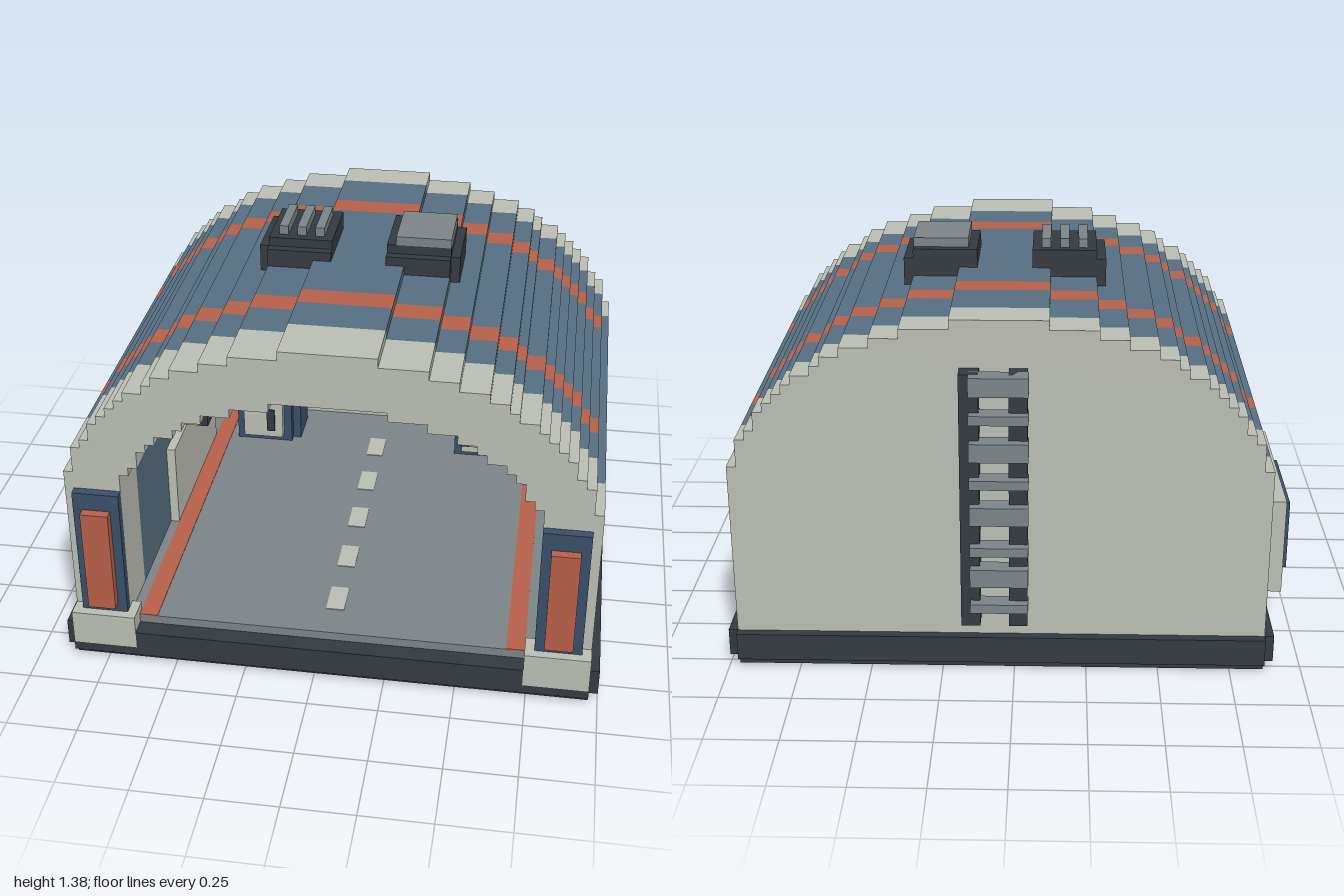
import * as THREE from 'three';

// Everything sits on a grid of small cubes: i along x, y up, j along z
const V = 2 / 61;
const X = i => -1 + i * V;
const Z = j => (j - 26.5) * V;

const mat = color => new THREE.MeshStandardMaterial({ color, flatShading: true });
const PALE = mat(0xbdc0b6), BLUE = mat(0x567082), DARK = mat(0x343b41), RED = mat(0xb8614a);
const NAVY = mat(0x3a506a), GREY = mat(0x7d868a), YELLOW = mat(0xd9a95a);

// Stepped heights of the outer and inner arch for a one-cube column
const arc = (i, a, b) => Math.sqrt(Math.max(0, 1 - ((i + 0.5 - 32) / a) ** 2)) * b;
const outer = i => Math.round(19.25 + arc(i, 28, 19.6));
const inner = i => (i < 10 || i >= 54 ? 4 : Math.max(23, Math.round(19.3 + arc(i, 22, 13.7))));

export function createModel() {
  const model = new THREE.Group();

  // Box between grid corners
  function box(name, m, i0, i1, y0, y1, j0, j1, parent = model) {
    const g = new THREE.BoxGeometry((i1 - i0) * V, (y1 - y0) * V, (j1 - j0) * V);
    const mesh = new THREE.Mesh(g, m);
    mesh.position.set((X(i0) + X(i1)) / 2, ((y0 + y1) / 2) * V, (Z(j0) + Z(j1)) / 2);
    mesh.name = name;
    parent.add(mesh);
    return mesh;
  }

  // Box and its twin on the other side of the hangar axis
  function pair(name, m, i0, i1, ...rest) {
    box(name + 'Right', m, i0, i1, ...rest);
    box(name + 'Left', m, 64 - i1, 64 - i0, ...rest);
  }

  // Stepped arch between two height rules, extruded along z
  function arch(name, m, j0, j1, low, high, i0 = 4, i1 = 60) {
    const pts = [];
    const add = (i, y) => pts.push(new THREE.Vector2(X(i), y * V));
    for (let i = i0; i < i1; i++) {
      if (i === i0 || high(i) !== high(i - 1)) add(i, high(i));
      if (i === i1 - 1 || high(i) !== high(i + 1)) add(i + 1, high(i));
    }
    for (let i = i1 - 1; i >= i0; i--) {
      if (i === i1 - 1 || low(i) !== low(i + 1)) add(i + 1, low(i));
      if (i === i0 || low(i) !== low(i - 1)) add(i, low(i));
    }
    const g = new THREE.ExtrudeGeometry(new THREE.Shape(pts), { depth: (j1 - j0) * V, bevelEnabled: false });
    const mesh = new THREE.Mesh(g, m);
    mesh.position.z = Z(j0);
    mesh.name = name;
    model.add(mesh);
  }

  // Base
  box('baseFoot', DARK, 4, 60, 0, 1, 3, 52);
  box('baseSlab', DARK, 3, 61, 1, 4, 3, 52);
  box('baseRearLip', DARK, 4, 60, 1, 4, 2, 3);
  box('baseFrontLip', DARK, 4, 60, 1, 2, 52, 53);
  box('baseSill', DARK, 11, 53, 2, 4, 52, 53);

  // Shell: pale end bands, blue middle, red stripes let into the roof
  arch('backWall', PALE, 3, 5, () => 4, outer);
  arch('rearBand', PALE, 5, 7, inner, outer);
  arch('frontBand', PALE, 45, 51, inner, outer);
  for (const [a, b] of [[7, 13], [16, 37], [40, 45]]) arch('shell', BLUE, a, b, inner, outer);
  const under = i => (i === 4 || i === 59 ? outer(i) : outer(i) - 2);
  for (const j of [13, 37]) {
    arch('shellUnderStripe', BLUE, j, j + 3, inner, under);
    arch('roofStripe', RED, j, j + 3, i => outer(i) - 2, outer, 5, 59);
  }

  // Front pillars
  pair('footing', PALE, 4, 11, 2, 6, 50, 53);
  pair('pillarPanel', NAVY, 5, 10, 6, 21, 51, 52);
  pair('pillarInset', RED, 6, 9, 7, 19, 52, 53);

  // Floor with edge lines and lane dashes
  box('floor', GREY, 10, 54, 4, 5, 5, 51);
  pair('floorLine', RED, 11, 13, 4.5, 5.08, 6, 51);
  for (let j = 11; j < 48; j += 8) box('laneDash', PALE, 31, 33, 4.5, 5.08, j, j + 4);

  // Red frame on the inside of the back wall
  pair('wallFrameSide', RED, 11, 13, 5, 22, 5, 6);
  box('wallFrameTop', RED, 13, 51, 20, 22, 5, 6);

  // Lockers
  for (const i of [14, 42]) {
    const locker = new THREE.Group();
    locker.name = 'locker';
    box('lockerBody', NAVY, i, i + 7, 5, 13, 6, 13, locker);
    box('lockerSide', NAVY, i + 7, i + 8, 5, 12, 7, 12, locker);
    box('lockerDoor', PALE, i + 1, i + 6, 6, 11, 13, 14, locker);
    box('lockerHandle', DARK, i + 4, i + 5, 7, 10, 14, 14.3, locker);
    model.add(locker);
  }

  // Ceiling lamps
  box('centreLamp', YELLOW, 30, 34, 32, 33.5, 8, 48);
  pair('centreLampRail', DARK, 29, 30, 32, 33.5, 8, 48);
  pair('sideLamp', YELLOW, 16, 18, 28, 30, 8, 48);
  pair('sideLampRail', DARK, 18, 19, 28, 30.5, 8, 48);

  // Side window bay
  box('windowBay', PALE, 1, 11, 4, 15, 13, 33);
  box('windowPane', BLUE, 0.3, 1, 6, 12, 19, 27);
  box('windowBottom', NAVY, 0, 1, 5, 6, 17, 29);
  box('windowTop', NAVY, 0, 1, 12, 13, 17, 29);
  box('windowRearJamb', NAVY, 0, 1, 6, 12, 17, 19);
  box('windowFrontJamb', NAVY, 0, 1, 6, 12, 27, 29);

  // Roof vents
  const vent = (iWide0, iWide1, i0, i1) => {
    box('ventBase', DARK, iWide0, iWide1, 35, 40, 21, 29);
    box('ventFront', DARK, i0, i1, 36, 40, 29, 30);
    box('ventTop', DARK, i0, i1, 40, 41, 21, 29);
  };
  vent(21, 29, 22, 29);
  for (const i of [23, 25, 27]) box('ventSlat', GREY, i, i + 1, 41, 42, 22, 28);
  vent(35, 43, 35, 42);
  box('ventCap', GREY, 36, 42, 41, 42, 22, 29);

  // Rear ladder, rungs alternating thick and thin
  box('ladderRail', DARK, 34, 36, 6, 34, 1, 3);
  box('ladderRail', DARK, 29.1, 31, 6, 34, 1, 3);
  [8, 11, 14.5, 18, 22, 25, 29, 32].forEach((y, n) =>
    box('ladderRung', GREY, 29, 35, y, y + 1 + (n % 2), 0, 2));

  return model;
}
